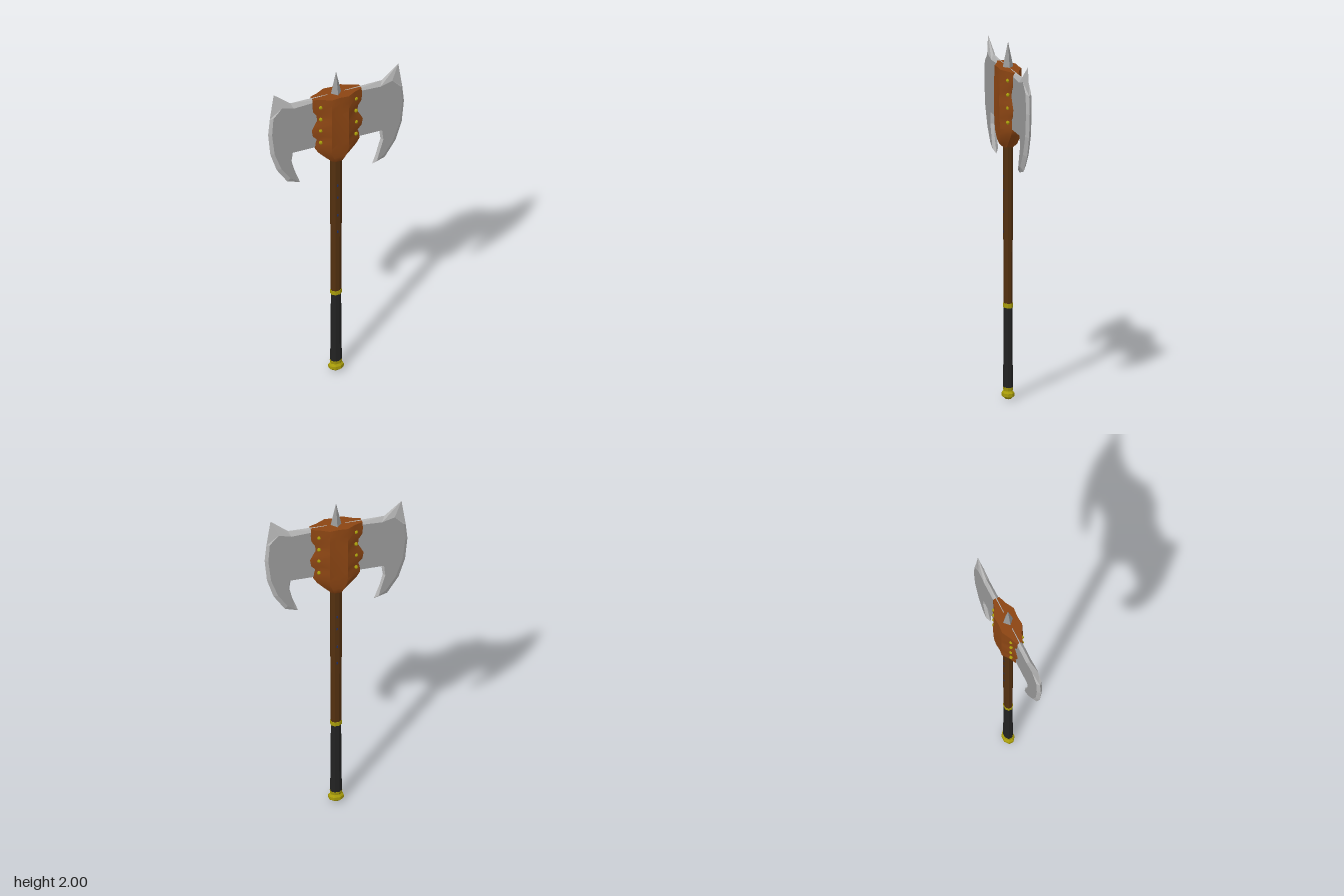
import * as THREE from 'three';
import { toCreasedNormals } from 'three/addons/utils/BufferGeometryUtils.js';

const material = (name, color) => {
  const m = new THREE.MeshStandardMaterial({ color });
  m.name = name;
  return m;
};

function fromTriangles(points, crease) {
  const g = new THREE.BufferGeometry();
  g.setAttribute('position', new THREE.Float32BufferAttribute(points.flat(), 3));
  g.computeVertexNormals();
  return crease ? toCreasedNormals(g, crease) : g;
}

// Blade outline, paired point by point: [outer x, outer y, inner x, inner y]
const BLADE = [
  [0.05, 1.862, 0.05, 1.845], [0.27, 1.865, 0.255, 1.835], [0.367, 1.947, 0.325, 1.855],
  [0.39, 1.79, 0.375, 1.8], [0.4, 1.69, 0.383, 1.69], [0.387, 1.555, 0.368, 1.56],
  [0.35, 1.44, 0.328, 1.45], [0.286, 1.343, 0.275, 1.372], [0.212, 1.32, 0.235, 1.345],
  [0.245, 1.41, 0.253, 1.41], [0.262, 1.475, 0.272, 1.475], [0.254, 1.53, 0.265, 1.54],
  [0.05, 1.53, 0.05, 1.54],
];
const HALF = 0.016;

// Sharpened rim, running from the flat cheeks to a thin edge at z = 0
function bladeEdge() {
  const t = [];
  for (let i = 0; i < BLADE.length - 1; i++) {
    const [a, b] = [BLADE[i], BLADE[i + 1]];
    for (const z of [HALF, -HALF]) {
      const o0 = [a[0], a[1], 0], o1 = [b[0], b[1], 0];
      const n0 = [a[2], a[3], z], n1 = [b[2], b[3], z];
      if (z > 0) t.push(n0, n1, o1, n0, o1, o0);
      else t.push(n0, o1, n1, n0, o0, o1);
    }
  }
  return fromTriangles(t);
}

function bladeBody() {
  const shape = new THREE.Shape(BLADE.map(p => new THREE.Vector2(p[2], p[3])));
  const g = new THREE.ExtrudeGeometry(shape, { depth: 2 * HALF, bevelEnabled: false });
  return g.translate(0, 0, -HALF);
}

// Leather wrap rows: [y, half width, half depth]
const WRAP = [
  [1.415, 0.03, 0.03], [1.43, 0.045, 0.045], [1.46, 0.075, 0.054], [1.5, 0.112, 0.058],
  [1.53, 0.13, 0.06], [1.565, 0.128, 0.062], [1.59, 0.12, 0.063], [1.615, 0.143, 0.064],
  [1.655, 0.15, 0.065], [1.685, 0.135, 0.065], [1.715, 0.118, 0.065], [1.75, 0.122, 0.064],
  [1.78, 0.142, 0.063], [1.82, 0.146, 0.062], [1.86, 0.143, 0.06],
];

function wrapGeometry() {
  const rows = WRAP.map(([y, w, d]) => {
    const x1 = Math.min(0.1, 0.75 * w), x2 = Math.min(0.05, 0.45 * w);
    const half = [[w, 0.018], [x1, Math.max(0.022, d * 0.55)], [x2, d], [0, d * 0.93],
      [-x2, d], [-x1, Math.max(0.022, d * 0.55)], [-w, 0.018]];
    return [...half, ...half.map(([x, z]) => [-x, -z])].map(([x, z]) => [x, y, z]);
  });
  const t = [], n = rows[0].length, last = rows.length - 1;
  for (let i = 0; i < n; i++) {
    const k = (i + 1) % n;
    for (let j = 0; j < last; j++) {
      const a = rows[j][i], b = rows[j][k], c = rows[j + 1][k], d = rows[j + 1][i];
      t.push(a, d, b, d, c, b);
    }
    t.push([0, WRAP[last][0], 0], rows[last][k], rows[last][i]);
    t.push([0, WRAP[0][0], 0], rows[0][i], rows[0][k]);
  }
  return fromTriangles(t, 0.6);
}

export function createModel() {
  const group = new THREE.Group();
  group.name = 'doubleAxe';
  const steel = material('steel', 0x999999);
  const edgeSteel = material('edgeSteel', 0xb4b4b4);
  const leather = material('leather', 0x8b4513);
  const wood = material('wood', 0x53300f);
  const grip = material('grip', 0x222222);
  const brass = material('brass', 0xa89c0a);
  const inlay = material('inlay', 0x1f2f66);
  for (const m of [steel, edgeSteel, wood, grip, brass]) m.flatShading = true;

  const add = (name, geometry, mat, parent = group) => {
    const mesh = new THREE.Mesh(geometry, mat);
    mesh.name = name;
    parent.add(mesh);
    return mesh;
  };

  // Oval eight-sided rod between two heights
  const rod = (name, y0, y1, r0, r1, mat) => {
    const g = new THREE.CylinderGeometry(r1, r0, y1 - y0, 8);
    g.rotateY(Math.PI / 8).scale(1.06, 1, 0.84).translate(0, (y0 + y1) / 2, 0);
    return add(name, g, mat);
  };

  // Handle
  rod('shaft', 0.53, 1.5, 0.028, 0.033, wood);
  rod('grip', 0.06, 0.52, 0.031, 0.027, grip);
  rod('gripRing', 0.515, 0.54, 0.0305, 0.0305, brass);
  const profile = [[0, 0], [0.022, 0.005], [0.042, 0.02], [0.042, 0.038], [0.031, 0.05], [0.034, 0.07], [0, 0.07]];
  const pommel = new THREE.LatheGeometry(profile.map(p => new THREE.Vector2(...p)), 8);
  add('pommel', pommel.rotateY(Math.PI / 8).scale(1.04, 1, 0.8), brass);

  // Small inlays on the front and back of the shaft
  for (const y of [0.94, 1.05, 1.17, 1.25]) {
    for (const s of [1, -1]) {
      add('shaftInlay', new THREE.BoxGeometry(0.008, 0.014, 0.004), inlay)
        .position.set(0, y, s * 0.0235);
    }
  }

  // Two matching blades
  for (const [name, angle] of [['leftBlade', 0], ['rightBlade', Math.PI]]) {
    const blade = new THREE.Group();
    blade.name = name;
    blade.rotation.y = angle;
    add('bladeBody', bladeBody(), steel, blade);
    add('bladeEdge', bladeEdge(), edgeSteel, blade);
    group.add(blade);
  }

  // Leather wrap with rivets
  add('leatherWrap', wrapGeometry(), leather);
  for (const y of [1.575, 1.655, 1.73, 1.81]) {
    for (const x of [-0.104, 0.104]) {
      for (const s of [1, -1]) {
        const rivet = add('rivet', new THREE.SphereGeometry(0.011, 6, 4), brass);
        rivet.position.set(x, y, s * 0.033);
      }
    }
  }

  // Top spike
  const spike = new THREE.ConeGeometry(0.032, 0.15, 4);
  add('topSpike', spike.translate(0, 1.925, 0), steel);

  return group;
}
